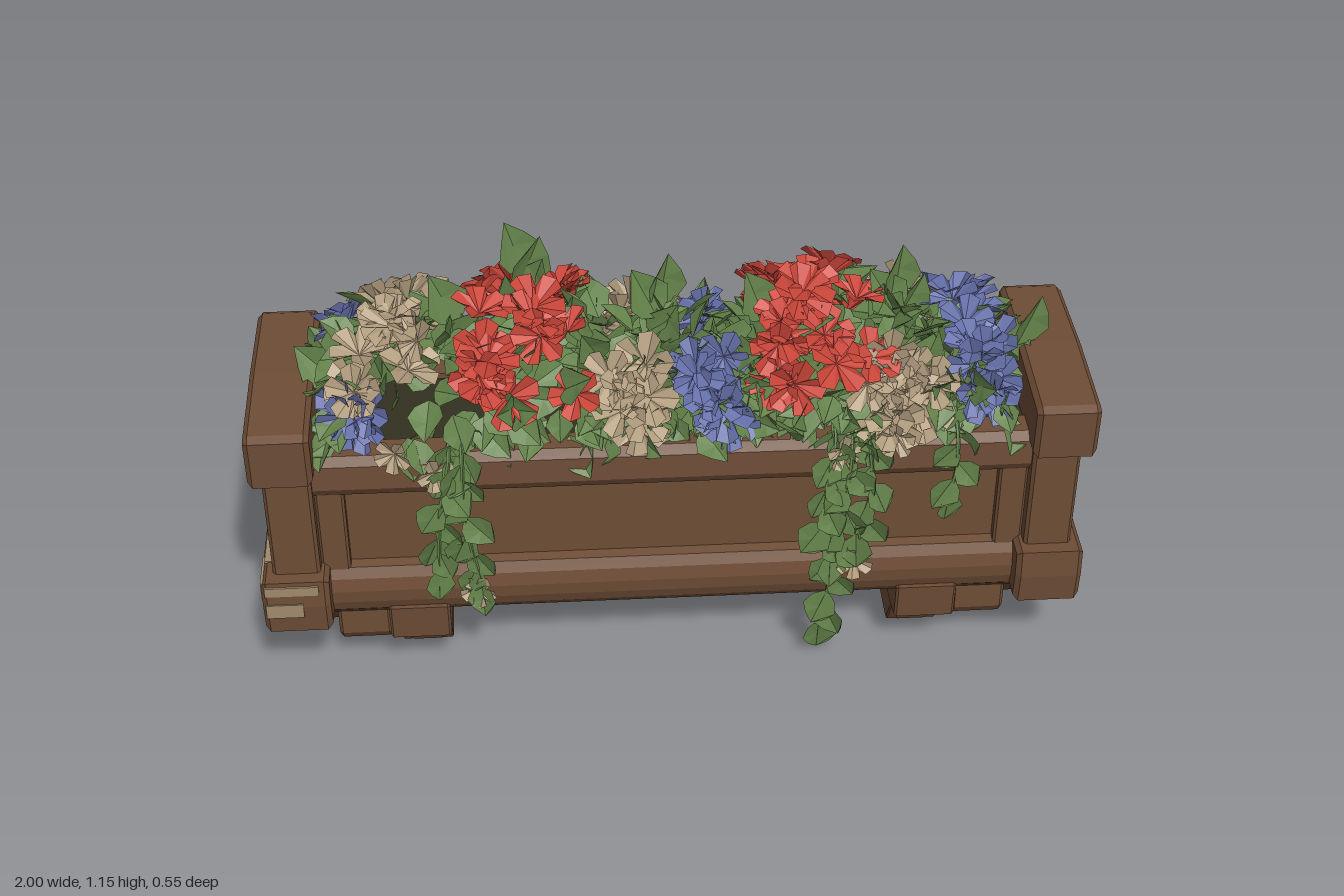
import * as THREE from 'three';
import { mergeGeometries } from 'three/addons/utils/BufferGeometryUtils.js';

const paint = (name, color, more = {}) => {
  const m = new THREE.MeshStandardMaterial({ color, flatShading: true, ...more });
  m.name = name;
  return m;
};
const V = (x, y, z) => new THREE.Vector3(x, y, z);

export function createModel() {
  const model = new THREE.Group();
  model.name = 'flowerPlanter';
  const both = { side: THREE.DoubleSide };
  const wood = paint('wood', 0x6e4d36);
  const soil = paint('soil', 0x33301f);
  const chip = paint('wornWood', 0xa08b6d);
  const moss = paint('dampMoss', 0x3a3d2c);
  const green = paint('leafGreen', 0x64824a, both);
  const red = paint('redPetal', 0xcd463a, both);
  const blue = paint('bluePetal', 0x6771ab, both);
  const cream = paint('creamPetal', 0xb5a081, both);

  let seed = 7;
  const rnd = (a = 0, b = 1) => {
    seed = (seed * 16807) % 2147483647;
    return a + (b - a) * (seed / 2147483647);
  };
  const add = (name, geo, mat) => {
    const mesh = new THREE.Mesh(geo, mat);
    mesh.name = name;
    model.add(mesh);
    return mesh;
  };

  // Bevelled bar: a [z, y] profile extruded along x
  const bar = (name, x0, x1, pts, bevel = 0.012, mat = wood) => {
    const shape = new THREE.Shape(pts.map(([z, y]) => new THREE.Vector2(z, y)));
    const geo = new THREE.ExtrudeGeometry(shape, {
      depth: x1 - x0 - 2 * bevel, bevelEnabled: bevel > 0, bevelSize: bevel,
      bevelThickness: bevel, bevelOffset: -bevel, bevelSegments: 1,
    });
    // The turn maps profile x to +z and depth to -x
    geo.rotateY(-Math.PI / 2).translate(x1 - bevel, 0, 0);
    return add(name, geo, mat);
  };
  const rect = (z0, z1, y0, y1) => [[z0, y0], [z1, y0], [z1, y1], [z0, y1]];
  // Closes a right-hand profile with its mirror image
  const sym = (half) => [...half, ...half.slice().reverse().map(([z, y]) => [-z, y])];

  // Trough with rounded lower rails
  bar('trough', -0.87, 0.87, sym([[0.08, 0.181], [0.15, 0.185], [0.18, 0.197], [0.198, 0.22], [0.209, 0.25],
    [0.212, 0.285], [0.205, 0.32], [0.19, 0.345], [0.165, 0.35], [0.165, 0.65]]), 0);
  bar('soilBed', -0.86, 0.86, rect(-0.14, 0.14, 0.6, 0.67), 0, soil);
  for (const s of [1, -1]) {
    const m = (pts) => (s > 0 ? pts : pts.map(([z, y]) => [-z, y]).reverse());
    bar('topRail', -0.86, 0.86, m([[0.13, 0.6], [0.165, 0.562], [0.195, 0.575], [0.21, 0.6],
      [0.208, 0.665], [0.19, 0.685], [0.13, 0.685]]), 0);
    for (const x of [-0.82, 0.82]) bar('panelStile', x - 0.035, x + 0.035, m(rect(0.14, 0.192, 0.34, 0.58)), 0.006);
  }

  // End posts, caps, bands and feet
  for (const s of [1, -1]) {
    const side = (name, a, b, pts, bevel) => bar(name, s > 0 ? a : -b, s > 0 ? b : -a, pts, bevel);
    side('endPost', 0.855, 0.97, rect(-0.238, 0.226, 0.33, 0.68), 0.008);
    side('endCap', 0.845, 0.997, [[-0.272, 0.655], [0.262, 0.655], [0.266, 0.785], [0.245, 0.795],
      [0, 0.805], [-0.255, 0.795], [-0.277, 0.785]], 0.012);
    side('endBand', 0.835, 0.998, [[-0.27, 0.215], [0.26, 0.21], [0.267, 0.29], [0.26, 0.362],
      [-0.268, 0.364], [-0.274, 0.29]], 0.012);
    side('footBeam', 0.69, 0.945, sym([[0.085, 0.095], [0.195, 0.215]]), 0.008);
    side('footBlock', 0.7, 0.83, sym([[0.165, 0.1], [0.18, 0.125], [0.18, 0.225]]), 0.008);
    side('footCrosspiece', 0.552, 0.702, sym([[0.13, 0.105], [0.204, 0.125], [0.212, 0.225]]), 0.006);
    // Tapered leg and inner brace, four-sided
    const taper = (name, x, y0, y1, rTop, rLow, sx, sz) => {
      const geo = new THREE.CylinderGeometry(rTop * Math.SQRT2, rLow * Math.SQRT2, y1 - y0, 4);
      geo.rotateY(Math.PI / 4).scale(sx, 1, sz).translate(s * x, (y0 + y1) / 2, 0);
      add(name, geo, wood);
    };
    taper('footLeg', 0.622, 0, 0.12, 0.14, 0.072, 0.5, 1);
    bar('footLegCore', s * 0.62 - 0.064, s * 0.62 + 0.064, sym([[0.07, 0], [0.14, 0.118]]), 0.004);
    taper('footBrace', 0.56, 0.11, 0.21, 0.06, 0.015, 1.1, 1.9);
  }

  // Worn chips and a damp streak on the end bands and caps
  const plate = (x, y, z, w, h, d, mat = chip) => {
    add(mat === moss ? 'dampStreak' : 'wornChip', new THREE.BoxGeometry(w, h, d).translate(x, y, z), mat);
  };
  plate(-0.925, 0.338, 0.262, 0.13, 0.026, 0.009);
  plate(-0.945, 0.28, 0.265, 0.09, 0.04, 0.009);
  plate(-0.997, 0.33, 0.2, 0.006, 0.05, 0.1);
  plate(0.945, 0.315, -0.271, 0.085, 0.085, 0.009);
  plate(0.997, 0.32, -0.225, 0.006, 0.07, 0.07);
  plate(-0.87, 0.25, -0.271, 0.05, 0.03, 0.009);
  plate(0.98, 0.363, -0.09, 0.02, 0.006, 0.26);
  plate(-0.98, 0.363, -0.03, 0.026, 0.006, 0.42);
  plate(0.98, 0.656, 0.0, 0.018, 0.006, 0.3);
  plate(0.97, 0.377, -0.03, 0.006, 0.018, 0.38, moss);

  // Folded leaf growing along +y, and a cupped five-petal flower facing +z
  const fan = (pts, out) => {
    for (let i = 1; i < pts.length - 1; i++) for (const p of [pts[0], pts[i], pts[i + 1]]) out.push(...p);
  };
  const toGeo = (arr) => new THREE.BufferGeometry().setAttribute('position', new THREE.Float32BufferAttribute(arr, 3));
  const leafPts = [], flowerPts = [];
  for (const s of [1, -1]) {
    const half = [[0, 0.55, -0.09], [0, 0, 0], [s * 0.28, 0.2, 0.06], [s * 0.4, 0.48, 0.08], [s * 0.24, 0.74, 0.02], [0, 1, -0.14]];
    fan(s > 0 ? half : half.reverse(), leafPts);
  }
  for (let k = 0; k < 5; k++) {
    const at = (r, a, z) => {
      const t = k * Math.PI * 0.4 + a;
      return [r * Math.cos(t), r * Math.sin(t), z];
    };
    fan([at(0, 0, -0.4), at(0.52, -0.628, 0.02), at(0.95, -0.42, 0.12), at(1.08, 0, 0),
      at(0.95, 0.42, 0.12), at(0.52, 0.628, 0.02)], flowerPts);
  }
  const leafGeo = toGeo(leafPts), flowerGeo = toGeo(flowerPts);

  const batches = new Map();
  const put = (base, mat, pos, xAxis, yAxis, zAxis, size) => {
    const m = new THREE.Matrix4().makeBasis(xAxis, yAxis, zAxis).scale(V(size, size, size)).setPosition(pos);
    if (!batches.has(mat)) batches.set(mat, []);
    batches.get(mat).push(base.clone().applyMatrix4(m));
  };
  const leaf = (pos, dir, normal, size) => {
    const y = dir.clone().normalize();
    const x = y.clone().cross(normal).normalize();
    put(leafGeo, green, pos, x, y, x.clone().cross(y), size);
  };
  const flower = (pos, normal, size, mat) => {
    const z = normal.clone().normalize();
    const x = V(rnd(-1, 1), rnd(-1, 1), rnd(-1, 1)).cross(z).normalize();
    put(flowerGeo, mat, pos, x, z.clone().cross(x), z, size);
  };

  // Foliage mound: point and outward normal at x and angle t from the top
  const bump = (x, c, w) => Math.exp(-(((x - c) / w) ** 2));
  const height = (x) => 0.22 + 0.1 * (bump(x, -0.36, 0.16) + bump(x, 0.36, 0.16)) + 0.07 * bump(x, -0.68, 0.1)
    - 0.1 * Math.max(0, (Math.abs(x) - 0.72) / 0.13);
  const mound = (x, t, k = 1) => V(x, 0.7 + height(x) * Math.cos(t) * k, 0.2 * Math.sin(t) * k);
  const outward = (x, t, wild) => V(x * 0.3 + rnd(-wild, wild), Math.cos(t) + rnd(-wild, wild), Math.sin(t) * 1.1 + rnd(-wild, wild));

  for (let i = 0; i < 460; i++) {
    const x = rnd(-0.82, 0.82), t = rnd(-1.65, 1.65);
    const out = outward(x, t, 0.4);
    const dir = out.clone().multiplyScalar(0.6).add(V(rnd(-1, 1), rnd(-0.6, 0.4), rnd(-0.5, 0.5)));
    leaf(mound(x, t, rnd(0.4, 0.9)), dir, out, rnd(0.08, 0.12));
  }
  // Leaves drooping over both rails
  for (let i = 0; i < 90; i++) {
    const s = i % 2 ? 1 : -1;
    leaf(V(rnd(-0.8, 0.8), rnd(0.71, 0.79), s * rnd(0.14, 0.18)), V(rnd(-0.8, 0.8), rnd(-1, -0.1), s * 0.4), V(rnd(-0.4, 0.4), 0.5, s), rnd(0.08, 0.11));
  }
  // Tall leaves on the skyline: x, tip y, z, lean
  for (const [x, y, z, lean] of [[-0.37, 1.155, -0.05, -0.25], [-0.29, 1.12, -0.03, 0.5], [0.56, 1.085, 0, 0.2],
    [0.48, 1.04, 0.02, -0.5], [0.01, 1.075, -0.01, 0.25], [-0.08, 1.06, 0.02, -0.4], [-0.55, 1.05, 0, -0.4],
    [0.19, 1.03, 0, -0.3], [0.9, 0.93, 0.01, 0.5], [-0.88, 0.88, 0.02, -0.9], [0.62, 0.98, -0.03, 0.6], [-0.79, 0.94, -0.02, -0.5]]) {
    const d = V(lean, 1, 0).normalize();
    leaf(V(x, y, z).addScaledVector(d, -0.14), d, V(0.5, 0, 0.8), 0.14);
    leaf(V(x * 0.97, y - 0.08, z).addScaledVector(d, -0.12), V(-lean, 1, 0.3), V(-0.5, 0, 1), 0.12);
    leaf(V(x * 0.97, y - 0.07, z).addScaledVector(d, -0.12), V(lean, 1, -0.5), V(0.8, 0, -0.6), 0.11);
  }

  // Flower clusters: colour, centre x, spread in x, angle range, count
  const clusters = [
    [red, -0.35, 0.13, 0.2, 1.2, 11], [red, 0.35, 0.13, 0.12, 1.2, 12],
    [red, -0.35, 0.13, -1.2, -0.25, 11], [red, 0.35, 0.13, -1.2, -0.12, 12],
    [cream, -0.67, 0.08, 0.1, 1.0, 8], [blue, -0.74, 0.04, 0.95, 1.4, 4],
    [cream, -0.11, 0.08, 0.7, 1.4, 7], [blue, 0.08, 0.07, 0.6, 1.4, 7],
    [cream, 0.53, 0.09, 0.8, 1.5, 9], [blue, 0.72, 0.07, 0.3, 1.25, 8],
    [cream, -0.65, 0.1, -1.4, -0.4, 9], [blue, -0.78, 0.03, -1.0, -0.3, 4],
    [cream, -0.07, 0.09, -1.4, -0.5, 8], [blue, 0.13, 0.05, -1.45, -0.8, 5],
    [cream, 0.6, 0.09, -1.45, -0.6, 9], [blue, 0.71, 0.06, -1.1, -0.2, 6],
  ];
  for (const [mat, cx, spread, t0, t1, n] of clusters) {
    for (let i = 0; i < n; i++) {
      const x = cx + spread * rnd(-1, 1), t = t0 + ((t1 - t0) * (i + rnd())) / n;
      flower(mound(x, t, rnd(1, 1.12)), outward(x, t, 0.55), rnd(0.06, 0.075), mat);
    }
  }

  // Trailing vines over the front rail: top x, middle x, end x, lowest y
  for (const [x, xm, xe, low] of [[-0.53, -0.56, -0.57, 0.36], [-0.5, -0.5, -0.47, 0.31],
    [0.42, 0.4, 0.365, 0.12], [0.38, 0.36, 0.38, 0.36], [0.46, 0.47, 0.44, 0.42], [0.67, 0.67, 0.66, 0.53]]) {
    const path = new THREE.CatmullRomCurve3([V(x, 0.74, 0.16), V(x, 0.69, 0.222),
      V(xm, (0.7 + low) / 2, 0.232), V(xe, low, low < 0.2 ? 0.195 : 0.228)]);
    add('vineStem', new THREE.TubeGeometry(path, 14, 0.005, 5), green);
    const n = Math.round((0.74 - low) / 0.04);
    for (let i = 1; i <= n; i++) {
      const s = i === n ? 0 : i % 2 ? 1 : -1;
      leaf(path.getPoint(i / n), V(s * rnd(0.3, 0.9), -1, rnd(-0.05, 0.35)), V(rnd(-0.6, 0.6), 0.2, 1), rnd(0.085, 0.11));
    }
  }
  for (const [x, y] of [[-0.48, 0.29], [-0.56, 0.65], [0.44, 0.33], [0.4, 0.67], [0.52, 0.7], [-0.66, 0.71]]) {
    flower(V(x, y, 0.235), V(rnd(-0.4, 0.4), 0.1, 1), 0.045, cream);
  }

  const names = new Map([[green, 'leaves'], [red, 'redFlowers'], [blue, 'blueFlowers'], [cream, 'creamFlowers']]);
  for (const [mat, list] of batches) {
    const geo = mergeGeometries(list);
    geo.computeVertexNormals();
    add(names.get(mat), geo, mat);
  }
  return model;
}
